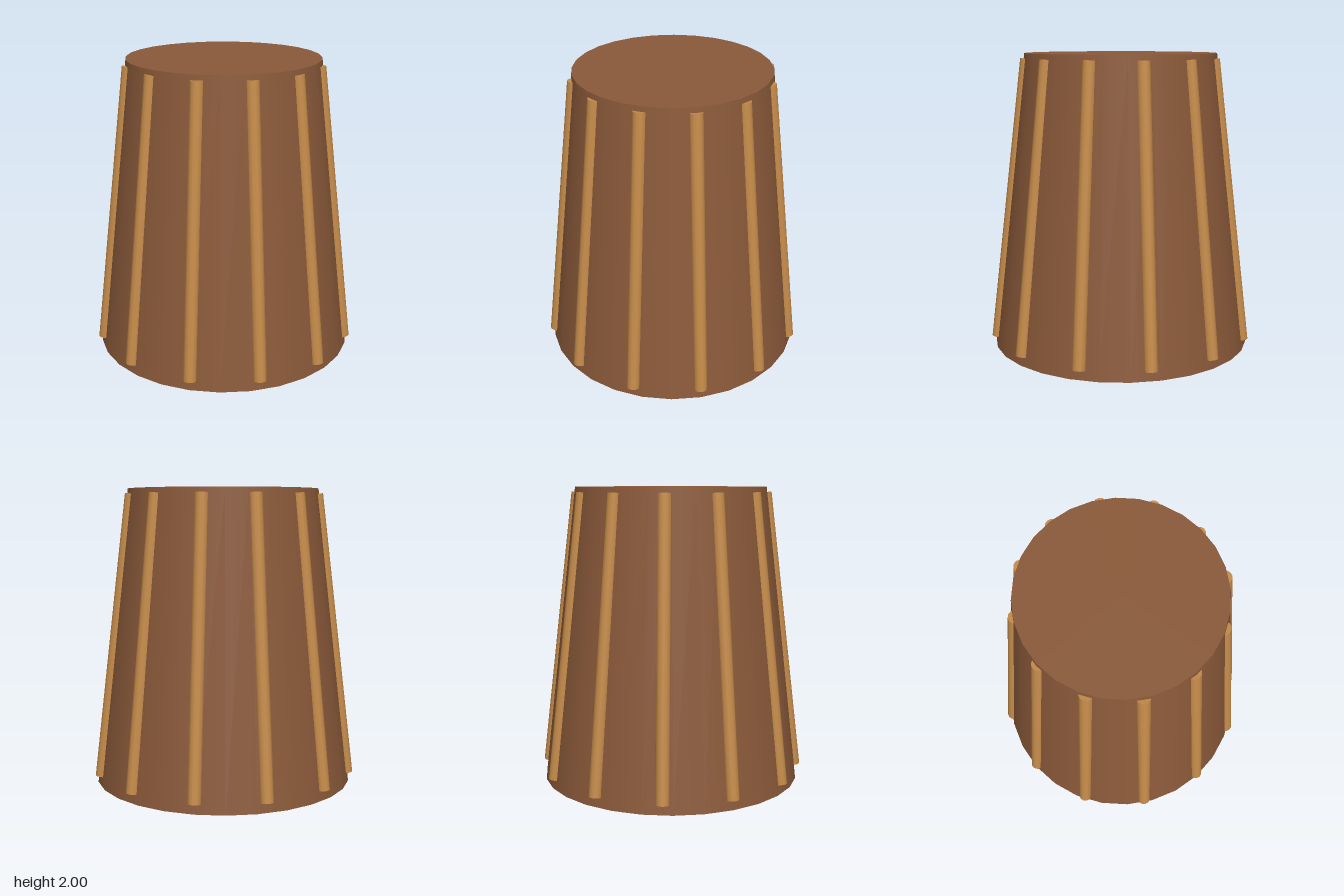
import * as THREE from 'three';

const ROD_COUNT = 12;
const ROD_RADIUS = 0.045;

export function createModel() {
  const group = new THREE.Group();
  group.name = 'ribbedTaperedDrum';

  const darkWood = new THREE.MeshStandardMaterial({ color: 0x8b5a3a });
  darkWood.name = 'dark brown';
  const lightWood = new THREE.MeshStandardMaterial({ color: 0xc68c4a });
  lightWood.name = 'light brown';

  // Tapered solid body
  const body = new THREE.Mesh(new THREE.CylinderGeometry(0.65, 0.885, 2, 28), darkWood);
  body.name = 'body';
  body.position.y = 1;
  group.add(body);

  // Rods half sunk into the side, leaning inwards with the taper
  const bottom = new THREE.Vector3(0, 0.063, 0.868);
  const top = new THREE.Vector3(0, 1.963, 0.636);
  const axis = top.clone().sub(bottom);
  const rodGeometry = new THREE.CylinderGeometry(ROD_RADIUS, ROD_RADIUS, axis.length(), 12);
  rodGeometry.rotateX(Math.atan2(axis.z, axis.y));
  rodGeometry.translate(0, (bottom.y + top.y) / 2, (bottom.z + top.z) / 2);

  for (let i = 0; i < ROD_COUNT; i++) {
    const rod = new THREE.Mesh(rodGeometry, lightWood);
    rod.name = `sideRod${i + 1}`;
    rod.rotation.y = (i / ROD_COUNT) * Math.PI * 2;
    group.add(rod);
  }

  return group;
}
